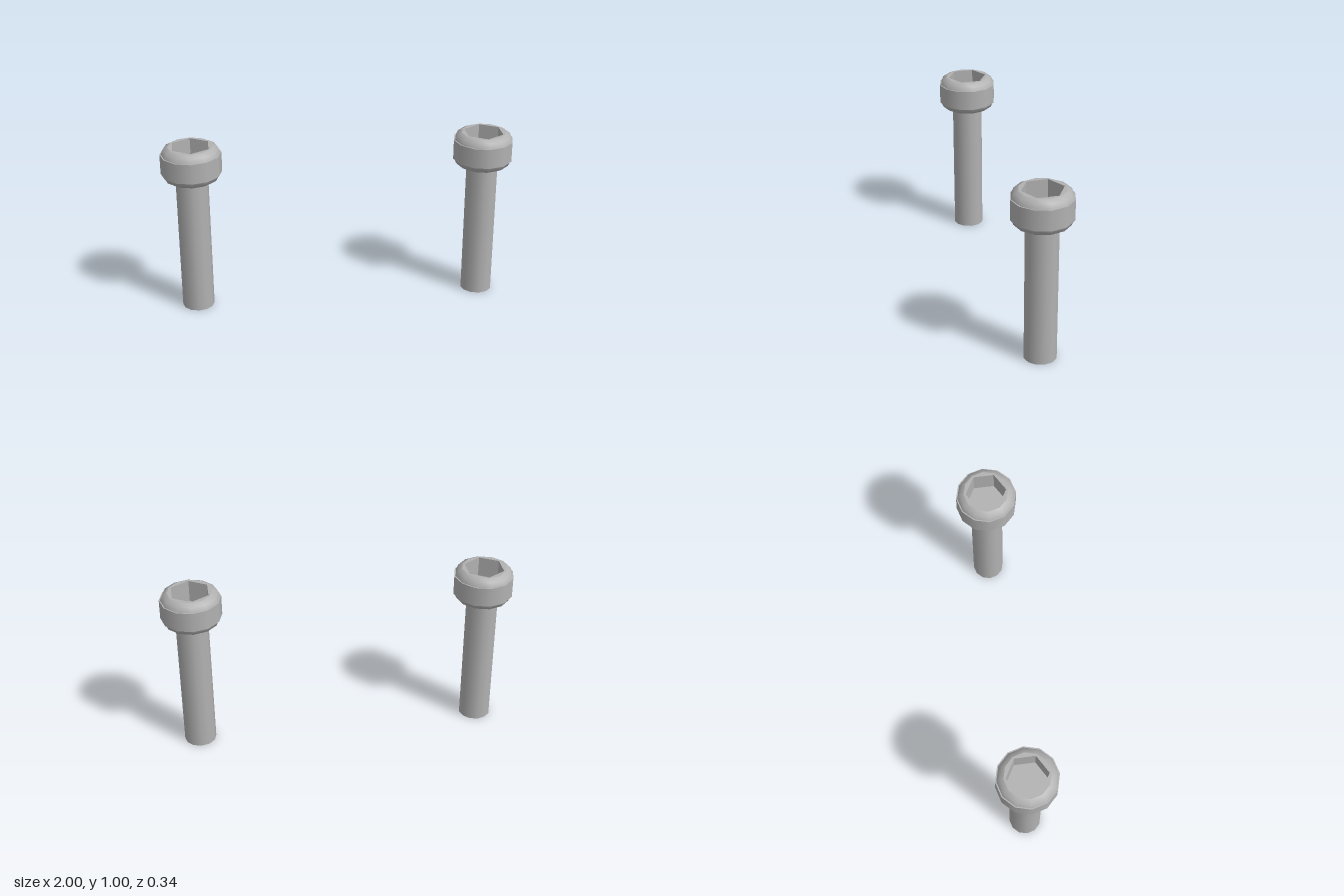
import * as THREE from 'three';

const SIDES = 12;
const TOP = 0.995, SOCKET_FLOOR = 0.865, HEX = 0.115, RIM = 0.126;

// Surface of revolution; points run so that the outside lies to their right
function lathe(name, points, material, sides = SIDES, flat = false) {
  let geometry = new THREE.LatheGeometry(points.map(([r, y]) => new THREE.Vector2(r, y)), sides);
  if (flat) {
    geometry = geometry.toNonIndexed();
    geometry.computeVertexNormals();
  }
  const mesh = new THREE.Mesh(geometry, material);
  mesh.name = name;
  return mesh;
}

// Corners of a regular polygon with one corner on the z axis
function polygon(radius, sides) {
  return Array.from({ length: sides }, (_, i) => {
    const a = Math.PI / 2 + (i / sides) * Math.PI * 2;
    return new THREE.Vector2(radius * Math.cos(a), radius * Math.sin(a));
  });
}

function createBolt(name, material) {
  const bolt = new THREE.Group();
  bolt.name = name;

  // Shaft with its flat end
  bolt.add(lathe('shaft', [[0.0915, 0], [0.0915, 0.8]], material));
  bolt.add(lathe('shaftEnd', [[0, 0], [0.0915, 0]], material));

  // Head: flat underside, rounded shoulder, straight band, rounded crown
  bolt.add(lathe('headUnderside', [[0.08, 0.795], [RIM, 0.795]], material));
  bolt.add(lathe('headShoulder', [[RIM, 0.795], [0.153, 0.81], [0.164, 0.838]], material));
  bolt.add(lathe('bandLowerLedge', [[0.164, 0.838], [0.171, 0.838]], material));
  bolt.add(lathe('headBand', [[0.171, 0.838], [0.171, 0.953]], material));
  bolt.add(lathe('bandUpperLedge', [[0.171, 0.953], [0.164, 0.953]], material));
  bolt.add(lathe('headCrown', [[0.164, 0.953], [0.153, 0.981], [RIM, TOP]], material));

  // Flat rim around the hexagonal socket
  const rimShape = new THREE.Shape(polygon(RIM, SIDES));
  rimShape.holes.push(new THREE.Path(polygon(HEX, 6)));
  const rim = new THREE.Mesh(new THREE.ShapeGeometry(rimShape), material);
  rim.name = 'socketRim';
  rim.rotation.x = -Math.PI / 2;
  rim.position.y = TOP;
  bolt.add(rim);

  // Socket walls and floor
  bolt.add(lathe('socketWalls', [[HEX, TOP], [HEX, SOCKET_FLOOR]], material, 6, true));
  bolt.add(lathe('socketFloor', [[HEX, SOCKET_FLOOR], [0, SOCKET_FLOOR]], material, 6));
  return bolt;
}

export function createModel() {
  const model = new THREE.Group();
  model.name = 'boltPair';
  const steel = new THREE.MeshStandardMaterial({ color: 0xb2b2b2 });
  steel.name = 'steel grey';

  for (const [name, x] of [['leftBolt', 0.829], ['rightBolt', -0.829]]) {
    const bolt = createBolt(name, steel);
    bolt.position.x = x;
    model.add(bolt);
  }
  return model;
}
